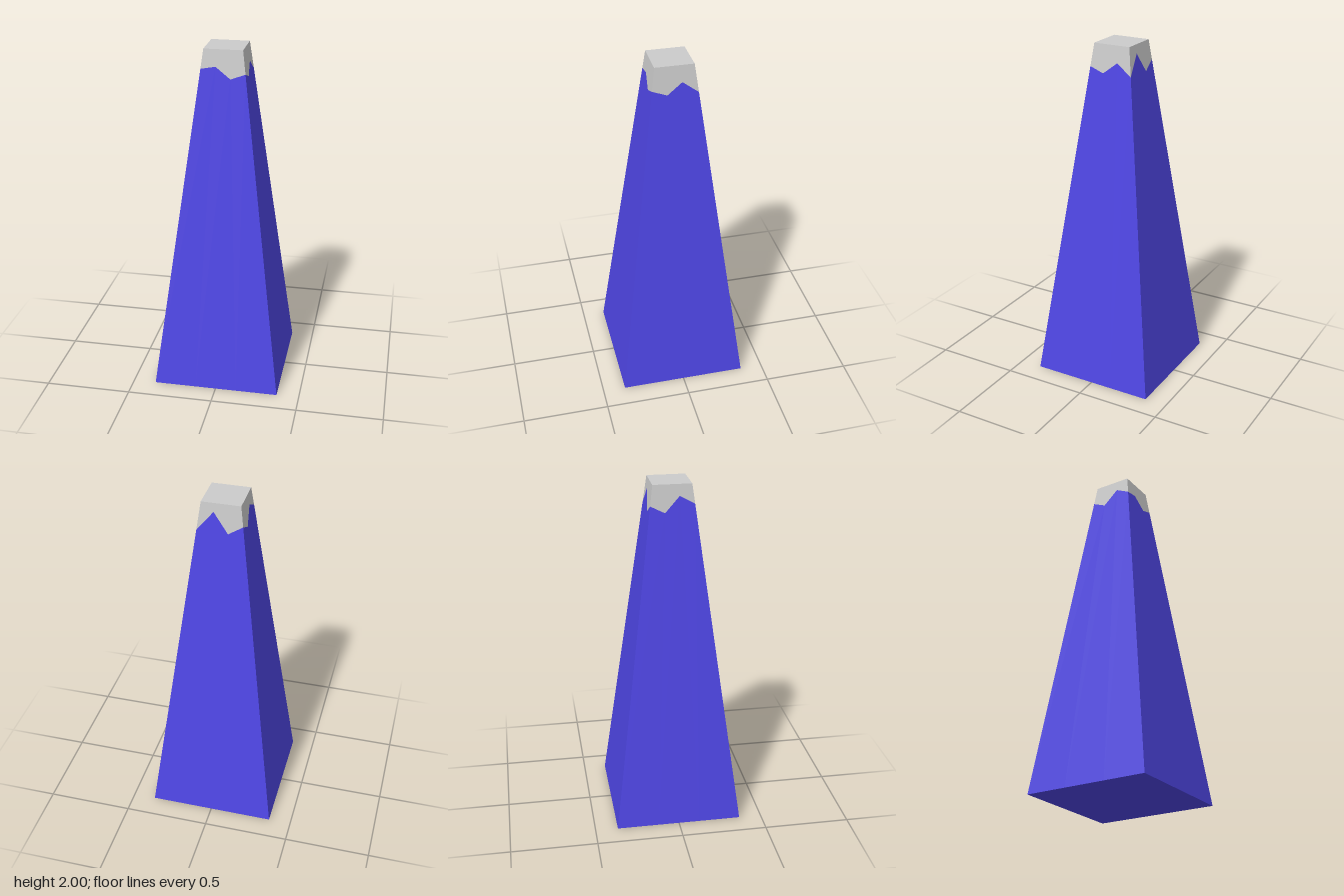
import * as THREE from 'three';

const BASE = 0.368, TOP = 0.11, HEIGHT = 2;
const halfWidth = (y) => BASE + (TOP - BASE) * (y / HEIGHT);

// Heights of the jagged paint line, three per side: front, right, back, left.
const JAGGED = [
  1.89, 1.905, 1.84,
  1.87, 1.84, 1.905,
  1.84, 1.95, 1.835,
  1.885, 1.845, 1.935,
];

// Square ring of 12 points on the tapered walls; height may vary per point.
function ring(heightAt) {
  return JAGGED.map((_, i) => {
    const y = heightAt(i), h = halfWidth(y);
    const along = -1 + (i % 3) * (2 / 3);
    return new THREE.Vector3(along * h, y, h)
      .applyAxisAngle(new THREE.Vector3(0, 1, 0), Math.floor(i / 3) * Math.PI / 2);
  });
}

// Wall between two rings, plus a flat end at the bottom or the top.
function band(name, lower, upper, end, color) {
  const points = [];
  const n = lower.length;
  for (let i = 0; i < n; i++) {
    const j = (i + 1) % n;
    points.push(lower[i], lower[j], upper[j], lower[i], upper[j], upper[i]);
    if (end === 'bottom') points.push(new THREE.Vector3(0, 0, 0), lower[j], lower[i]);
    else points.push(new THREE.Vector3(0, HEIGHT, 0), upper[i], upper[j]);
  }
  const geometry = new THREE.BufferGeometry().setFromPoints(points);
  geometry.computeVertexNormals();
  const mesh = new THREE.Mesh(geometry, new THREE.MeshStandardMaterial({ color, flatShading: true }));
  mesh.name = name;
  return mesh;
}

export function createModel() {
  const group = new THREE.Group();
  group.name = 'taperedPeak';
  const bottom = ring(() => 0);
  const jagged = ring((i) => JAGGED[i]);
  const top = ring(() => HEIGHT);

  // Coloured body and pale cap meet along the jagged line.
  group.add(band('body', bottom, jagged, 'bottom', 0x4f46e5));
  group.add(band('cap', jagged, top, 'top', 0xcccccc));
  return group;
}
